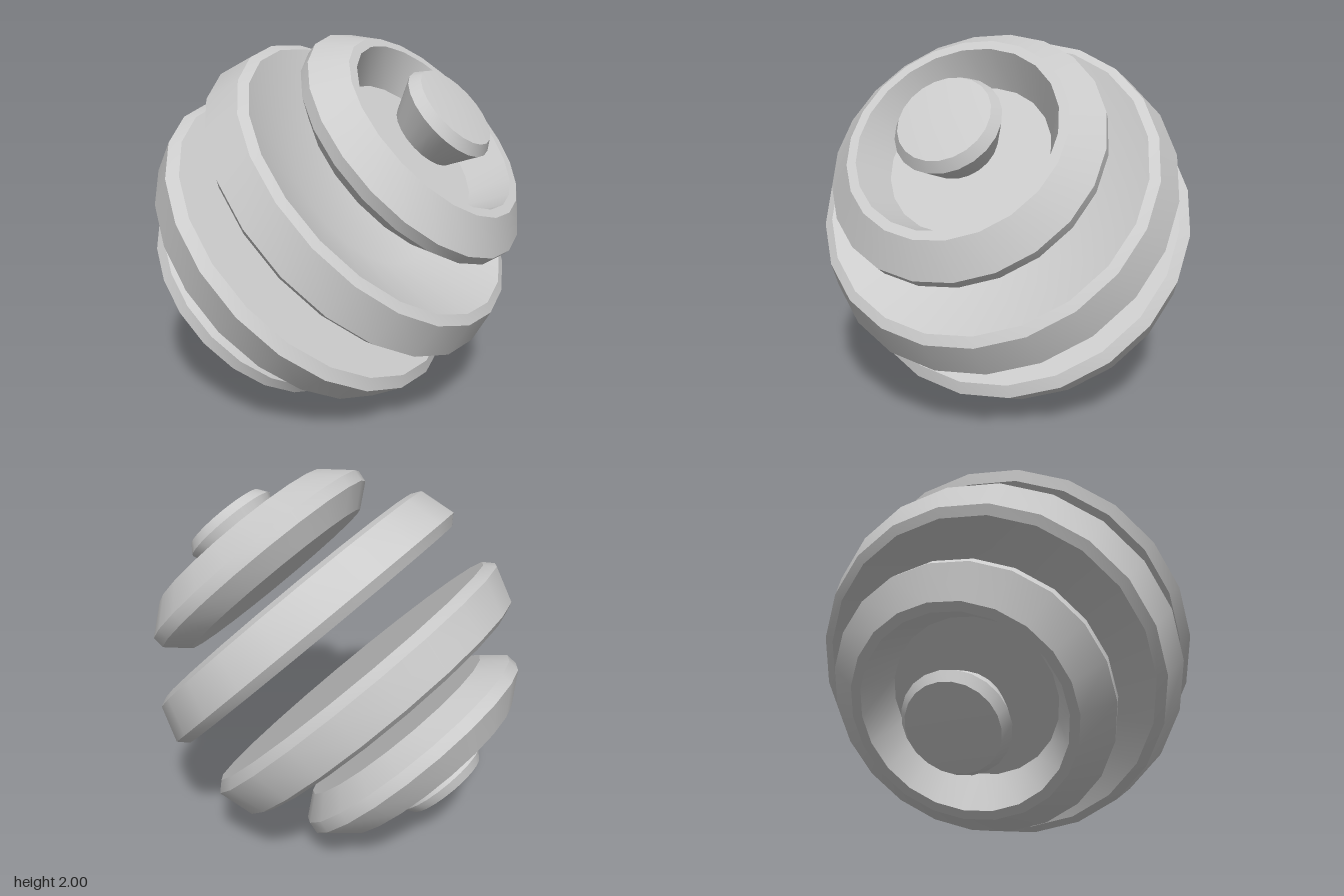
import * as THREE from 'three';
import { toCreasedNormals } from 'three/addons/utils/BufferGeometryUtils.js';

const material = new THREE.MeshStandardMaterial({ color: 0xcccccc });

// 22-sided turned part; profile is [radius, height along the axis], bottom to top
function turned(name, profile) {
  const points = profile.map(([r, a]) => new THREE.Vector2(r, a));
  const lathe = new THREE.LatheGeometry(points, 22, Math.PI / 2);
  const mesh = new THREE.Mesh(toCreasedNormals(lathe, 0.4), material);
  mesh.name = name;
  return mesh;
}

// One half of the sliced ball: middle slice, end slice with a cup, and button
function createHalf(name) {
  const half = new THREE.Group();
  half.name = name;
  half.add(
    // wide slice, flat below and dished above
    turned('middleSlice', [
      [0, 0.13], [0.935, 0.13], [0.985, 0.18],
      [0.927, 0.375], [0.875, 0.4], [0.45, 0.21], [0, 0.19],
    ]),
    // end slice with a recessed cup
    turned('endSlice', [
      [0, 0.52], [0.6, 0.52], [0.72, 0.62], [0.727, 0.685],
      [0.577, 0.82], [0.527, 0.82], [0.43, 0.615], [0, 0.615],
    ]),
    // flared button in the cup
    turned('endButton', [
      [0, 0.735], [0.195, 0.735], [0.275, 0.912], [0.238, 0.965], [0, 0.985],
    ]),
  );
  return half;
}

export function createModel() {
  const model = new THREE.Group();
  model.name = 'slicedBall';
  const upper = createHalf('upperHalf');
  const lower = createHalf('lowerHalf');
  lower.rotation.z = Math.PI;
  // tilt the slicing axis towards +x
  const tilted = new THREE.Group();
  tilted.name = 'tiltedSlices';
  tilted.add(upper, lower);
  tilted.rotation.z = -Math.PI / 4;
  tilted.position.y = 1;
  model.add(tilted);
  return model;
}
